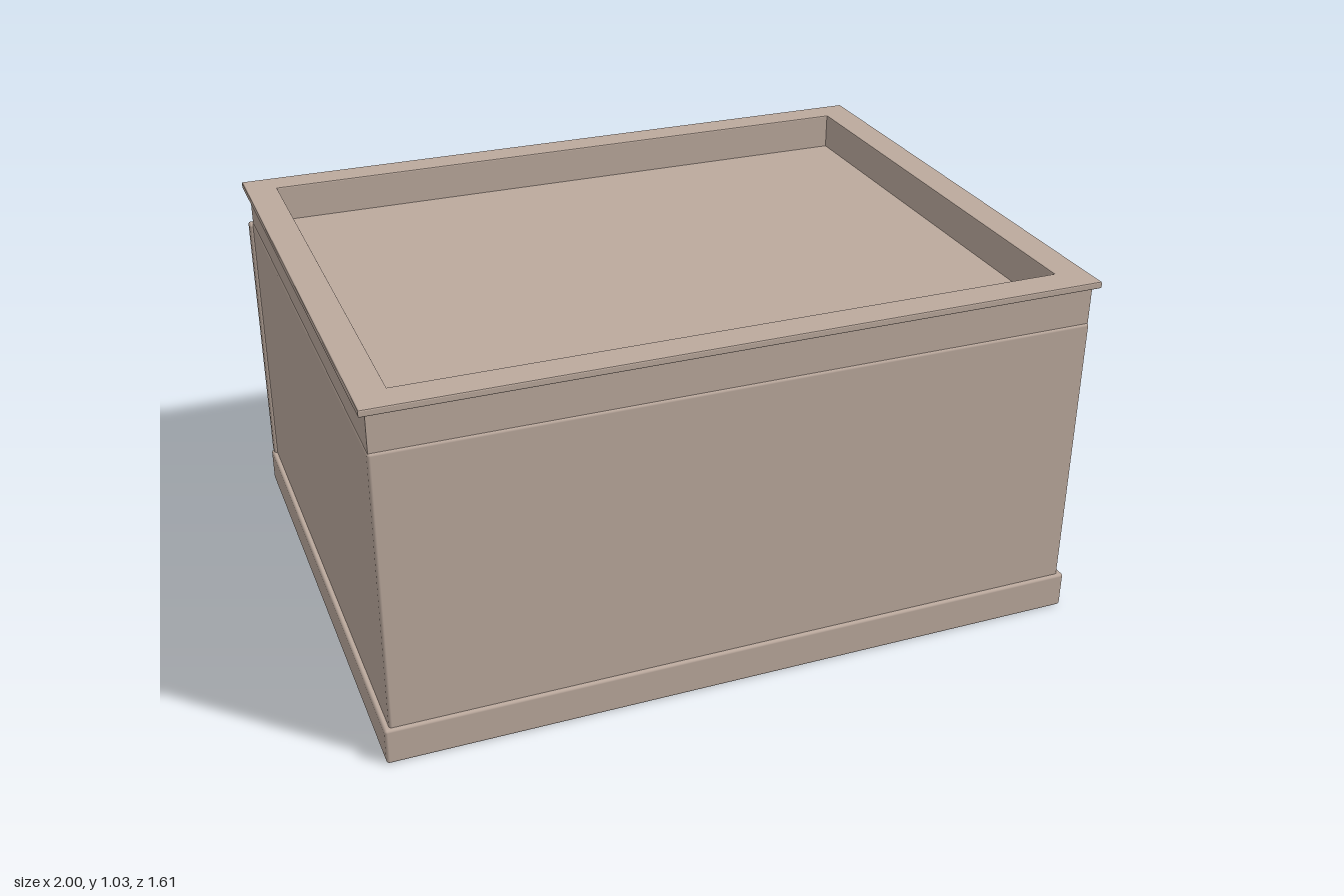
import * as THREE from 'three';
import { RoundedBoxGeometry } from 'three/addons/geometries/RoundedBoxGeometry.js';

const stone = new THREE.MeshStandardMaterial({ color: 0xbba99d });
stone.name = 'warm stone';
const teal = new THREE.MeshStandardMaterial({ color: 0x6a9a97 });
teal.name = 'teal paint';

function add(parent, name, geometry, material, x = 0, y = 0, z = 0) {
  const mesh = new THREE.Mesh(geometry, material);
  mesh.name = name;
  mesh.position.set(x, y, z);
  parent.add(mesh);
  return mesh;
}

// Softened block given by its limits on each axis
function block(parent, name, material, x0, x1, y0, y1, z0, z1, r = 0.006) {
  const g = new RoundedBoxGeometry(x1 - x0, y1 - y0, z1 - z0, 2, r);
  return add(parent, name, g, material, (x0 + x1) / 2, (y0 + y1) / 2, (z0 + z1) / 2);
}

// Extrusion of exact depth and outline, with a small bevel
function slab(shape, depth, bevel) {
  const g = new THREE.ExtrudeGeometry(shape, {
    depth: depth - 2 * bevel, curveSegments: 24, bevelEnabled: bevel > 0,
    bevelSize: bevel, bevelThickness: bevel, bevelOffset: -bevel, bevelSegments: 2,
  });
  g.translate(0, 0, bevel);
  return g;
}

// Horizontal rectangular ring around the roof opening
function roofRing(parent, name, halfX, zBack, zFront, y, height, bevel) {
  const rect = (target, hx, a, b) => {
    target.moveTo(-hx, -b);
    target.lineTo(hx, -b);
    target.lineTo(hx, -a);
    target.lineTo(-hx, -a);
    target.closePath();
    return target;
  };
  const shape = rect(new THREE.Shape(), halfX, zBack, zFront);
  shape.holes.push(rect(new THREE.Path(), 0.91, -0.65, 0.715));
  const g = slab(shape, height, bevel);
  g.rotateX(-Math.PI / 2);
  add(parent, name, g, stone, 0, y, 0);
}

const SPRING = 0.48; // height where the arches start to curve

function archShape(r) {
  const s = new THREE.Shape();
  s.moveTo(-r, 0);
  s.lineTo(r, 0);
  s.lineTo(r, SPRING);
  s.absarc(0, SPRING, r, 0, Math.PI, false);
  s.closePath();
  return s;
}

function archFrameShape(outer, inner) {
  const s = new THREE.Shape();
  s.moveTo(inner, 0);
  s.lineTo(outer, 0);
  s.lineTo(outer, SPRING);
  s.absarc(0, SPRING, outer, 0, Math.PI, false);
  s.lineTo(-outer, 0);
  s.lineTo(-inner, 0);
  s.lineTo(-inner, SPRING);
  s.absarc(0, SPRING, inner, Math.PI, 0, true);
  s.closePath();
  return s;
}

// Arched door with surround, battens, knob and round window; +z is outward
function makeDoor() {
  const door = new THREE.Group();
  add(door, 'archSurround', slab(archFrameShape(0.243, 0.198), 0.035, 0.004), stone, 0, 0, 0.705);
  add(door, 'doorPanel', slab(archShape(0.2), 0.032, 0), teal, 0, 0, 0.71);
  for (const y of [0.1, 0.205, 0.31, 0.415]) {
    add(door, 'doorBatten', new THREE.BoxGeometry(0.39, 0.009, 0.009), teal, 0, y, 0.744);
  }
  add(door, 'doorKnob', new THREE.SphereGeometry(0.014, 16, 12), stone, -0.13, 0.255, 0.754);

  const ring = new THREE.Shape().absarc(0, 0, 0.056, 0, Math.PI * 2, false);
  ring.holes.push(new THREE.Path().absarc(0, 0, 0.04, 0, Math.PI * 2, true));
  add(door, 'roundWindowRim', slab(ring, 0.03, 0.004), stone, 0, 0.81, 0.71);
  const pane = new THREE.CylinderGeometry(0.042, 0.042, 0.02, 32);
  pane.rotateX(Math.PI / 2);
  add(door, 'roundWindowPane', pane, teal, 0, 0.81, 0.722);
  return door;
}

// Wall lantern; +z is outward
function makeLantern() {
  const lamp = new THREE.Group();
  block(lamp, 'lanternBracket', teal, -0.012, 0.012, 0.585, 0.64, 0.71, 0.752, 0.003);
  block(lamp, 'lanternCap', teal, -0.034, 0.034, 0.586, 0.599, 0.742, 0.808, 0.003);
  block(lamp, 'lanternBody', stone, -0.024, 0.024, 0.52, 0.59, 0.75, 0.798, 0.006);
  return lamp;
}

export function createModel() {
  const model = new THREE.Group();
  model.name = 'garageBuilding';

  // Main masses
  block(model, 'plinth', stone, -1, 1, 0, 0.105, -0.735, 0.805, 0.008);
  block(model, 'walls', stone, -0.985, 0.985, 0.09, 0.905, -0.715, 0.795, 0.008);
  roofRing(model, 'parapet', 0.982, -0.718, 0.79, 0.895, 0.12, 0);
  roofRing(model, 'parapetCap', 1, -0.735, 0.805, 1.01, 0.02, 0.004);
  add(model, 'roof', new THREE.BoxGeometry(1.86, 0.04, 1.4), stone, 0, 0.905, 0.0325);

  // Corner pilasters beside the doors
  for (const s of [-1, 1]) {
    block(model, 'cornerPilaster', stone, s * 0.953 - 0.041, s * 0.953 + 0.041,
      0.1, 0.9, -0.742, -0.708, 0.008);
  }

  // Door wall, turned to face -z
  const doorWall = new THREE.Group();
  doorWall.name = 'doorWall';
  doorWall.rotation.y = Math.PI;
  for (const x of [-0.625, 0, 0.625]) {
    const door = makeDoor();
    door.name = 'archedDoor';
    door.position.x = x;
    doorWall.add(door);
  }
  for (const x of [-0.31, 0.31]) {
    const lamp = makeLantern();
    lamp.name = 'wallLantern';
    lamp.position.x = x;
    doorWall.add(lamp);
  }
  model.add(doorWall);
  return model;
}
